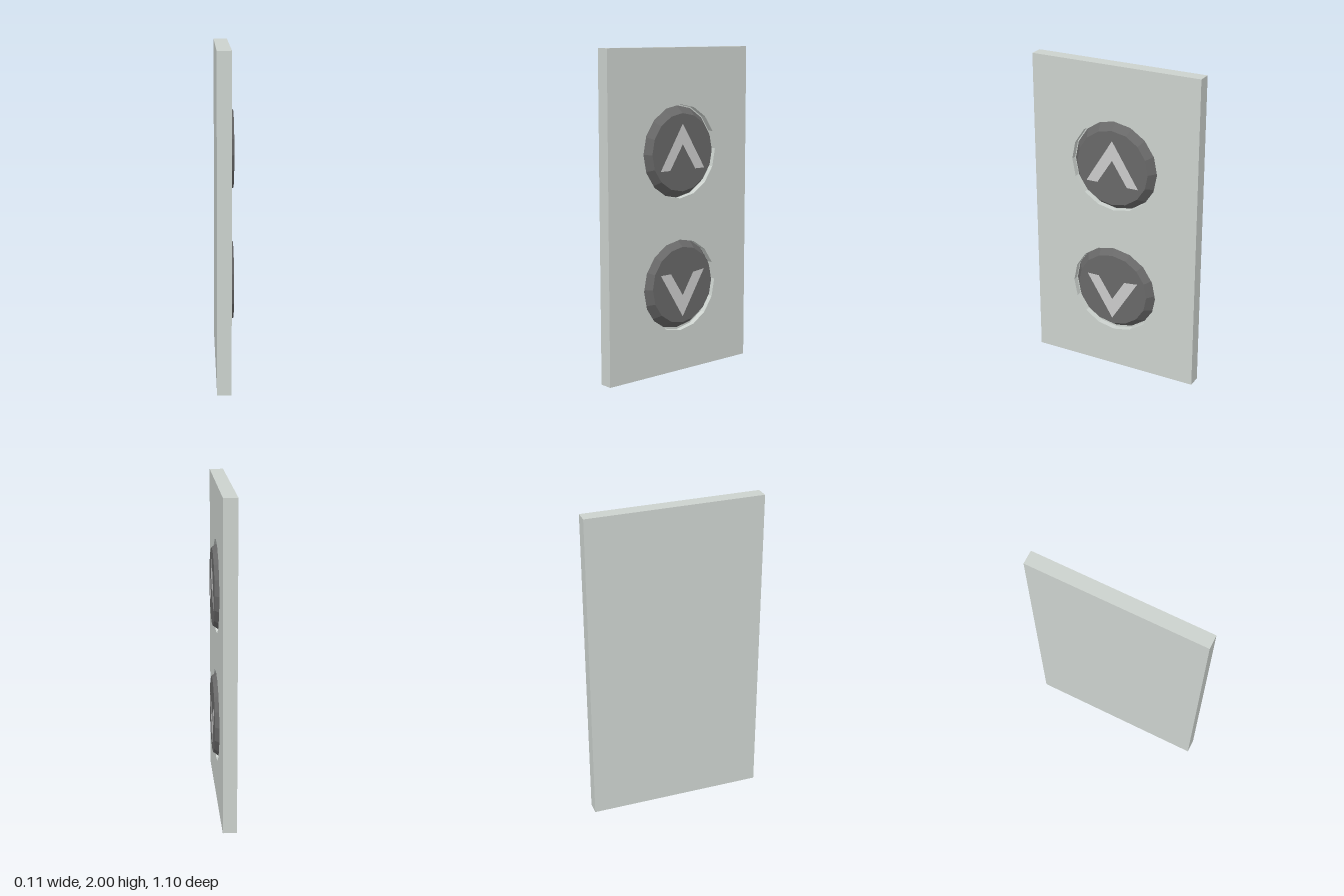
import * as THREE from 'three';

const mat = (color, extra = {}) => new THREE.MeshStandardMaterial({ color, flatShading: true, ...extra });

// Layers along x: back of panel, floor of the recesses, panel face, button face
const BACK = -0.055, FLOOR = -0.006, FACE = 0.03, TOP = 0.054;
const HALF_WIDTH = 0.55, HEIGHT = 2, SIDES = 16, HOLE_RADIUS = 0.287;

// Shapes are drawn in the xy plane, then turned to face +x
function faceSideways(geometry, x) {
  return geometry.rotateY(Math.PI / 2).translate(x, 0, 0);
}

function polygon(cy, radius) {
  const points = [];
  for (let i = 0; i < SIDES; i++) {
    const a = (i / SIDES) * Math.PI * 2;
    points.push(new THREE.Vector2(Math.cos(a) * radius, cy + Math.sin(a) * radius));
  }
  return points;
}

const buttons = [
  {
    name: 'upButton', holeY: 1.373, y: 1.37,
    arrow: [[-0.175, 1.265], [-0.1, 1.265], [0, 1.42], [0.1, 1.265], [0.175, 1.265], [0, 1.545]],
  },
  {
    name: 'downButton', holeY: 0.543, y: 0.55,
    arrow: [[-0.175, 0.63], [-0.095, 0.63], [0, 0.485], [0.085, 0.62], [0.175, 0.63], [0, 0.35]],
  },
];

export function createModel() {
  const model = new THREE.Group();
  model.name = 'callPanel';
  const add = (parent, name, geometry, material) => {
    const mesh = new THREE.Mesh(geometry, material);
    mesh.name = name;
    parent.add(mesh);
  };
  const panelMat = mat(0xccd2ce);
  const buttonMat = mat(0x686868);
  const arrowMat = mat(0xcccccc, { side: THREE.DoubleSide });

  // Back plate, which also forms the recess floors
  const back = new THREE.BoxGeometry(FLOOR - BACK, HEIGHT, HALF_WIDTH * 2);
  back.translate((FLOOR + BACK) / 2, HEIGHT / 2, 0);
  add(model, 'backPlate', back, panelMat);

  // Front plate with a round recess for each button
  const plate = new THREE.Shape([
    new THREE.Vector2(-HALF_WIDTH, 0), new THREE.Vector2(HALF_WIDTH, 0),
    new THREE.Vector2(HALF_WIDTH, HEIGHT), new THREE.Vector2(-HALF_WIDTH, HEIGHT),
  ]);
  for (const b of buttons) plate.holes.push(new THREE.Path(polygon(b.holeY, HOLE_RADIUS)));
  const front = new THREE.ExtrudeGeometry(plate, { depth: FACE - FLOOR, bevelEnabled: false });
  add(model, 'frontPlate', faceSideways(front, FLOOR), panelMat);

  // Tapered buttons with flush arrow marks
  for (const b of buttons) {
    const group = new THREE.Group();
    group.name = b.name;
    const cap = new THREE.CylinderGeometry(0.238, 0.282, TOP - FLOOR, SIDES);
    cap.rotateZ(-Math.PI / 2).translate((TOP + FLOOR) / 2, b.y, 0);
    add(group, 'buttonCap', cap, buttonMat);
    const shape = new THREE.Shape(b.arrow.map(([x, y]) => new THREE.Vector2(x, y)));
    add(group, 'arrowMark', faceSideways(new THREE.ShapeGeometry(shape), TOP + 0.001), arrowMat);
    model.add(group);
  }
  return model;
}
